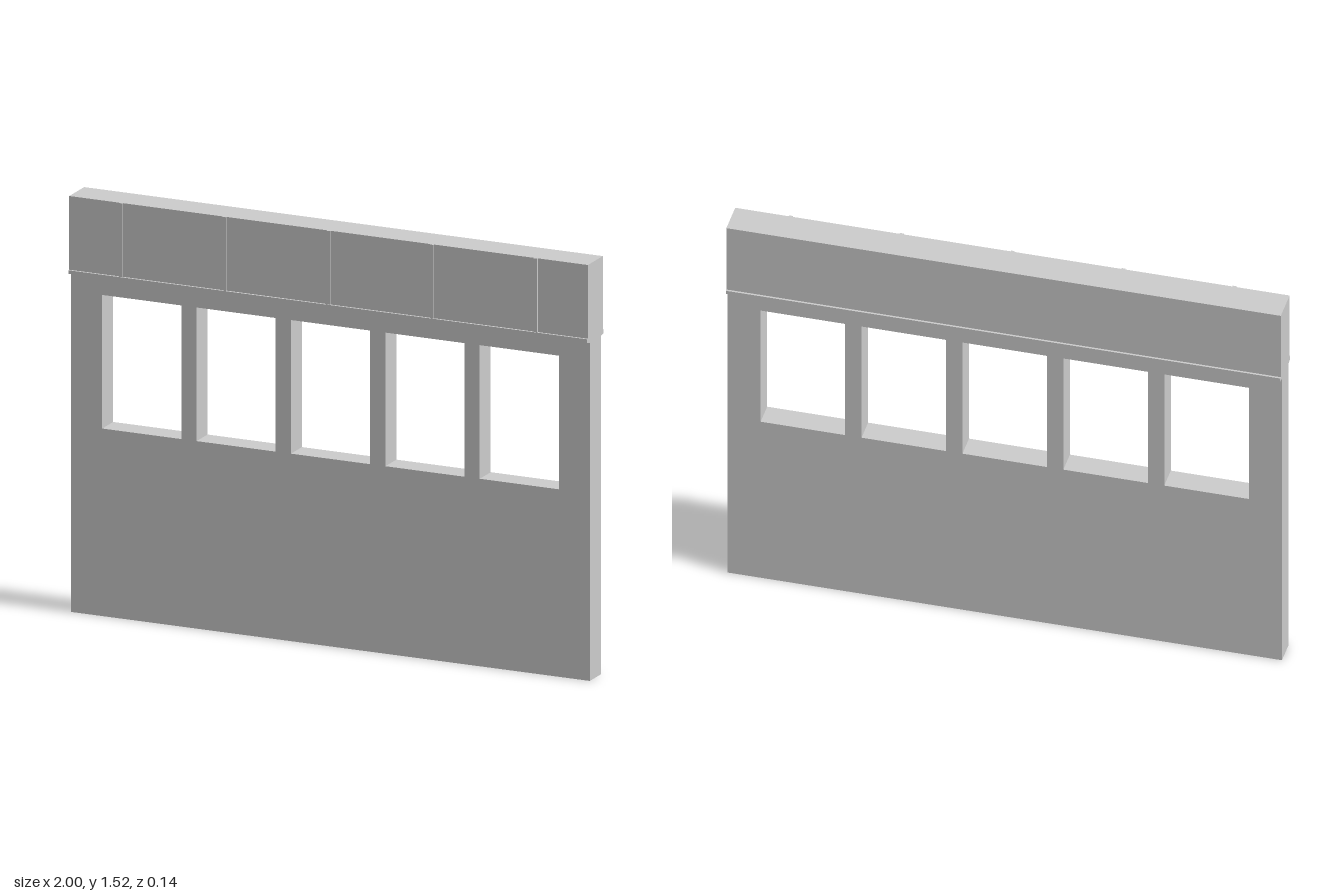
import * as THREE from 'three';

const material = new THREE.MeshStandardMaterial({ color: 0xcccccc, flatShading: true });

function addMesh(group, name, geometry) {
  const mesh = new THREE.Mesh(geometry, material);
  mesh.name = name;
  group.add(mesh);
  return mesh;
}

function polygon(PathType, points) {
  const path = new PathType(points.map(([x, y]) => new THREE.Vector2(x, y)));
  path.closePath();
  return path;
}

function rectangle(PathType, x0, x1, y0, y1) {
  return polygon(PathType, [[x0, y0], [x1, y0], [x1, y1], [x0, y1]]);
}

export function createModel() {
  const group = new THREE.Group();
  group.name = 'windowWall';

  // Wall panel with a row of five window openings
  const wallDepth = 0.09, wallTop = 1.23;
  const wall = rectangle(THREE.Shape, -1, 1, 0, wallTop);
  for (let i = -2; i <= 2; i++) {
    const x = i * 0.364;
    wall.holes.push(rectangle(THREE.Path, x - 0.1525, x + 0.1525, 0.682, 1.168));
  }
  const wallGeometry = new THREE.ExtrudeGeometry(wall, { depth: wallDepth, bevelEnabled: false });
  wallGeometry.translate(0, 0, -wallDepth / 2);
  addMesh(group, 'wall', wallGeometry);

  // Fascia with a small drip ledge, a mirrored profile run along x
  const half = [[0.045, wallTop], [0.069, 1.236], [0.069, 1.249], [0.061, 1.249], [0.061, 1.517]];
  const mirrored = half.map(([z, y]) => [-z, y]).reverse();
  const fascia = polygon(THREE.Shape, [...half, ...mirrored]);
  const fasciaGeometry = new THREE.ExtrudeGeometry(fascia, { depth: 2, bevelEnabled: false });
  fasciaGeometry.translate(0, 0, -1);
  fasciaGeometry.rotateY(-Math.PI / 2);
  addMesh(group, 'fascia', fasciaGeometry);

  // Thin vertical battens on the front of the fascia
  for (let i = -2; i <= 2; i++) {
    const batten = addMesh(group, 'batten', new THREE.BoxGeometry(0.014, 0.268, 0.006));
    batten.position.set(i * 0.4, 1.383, 0.063);
  }

  return group;
}
